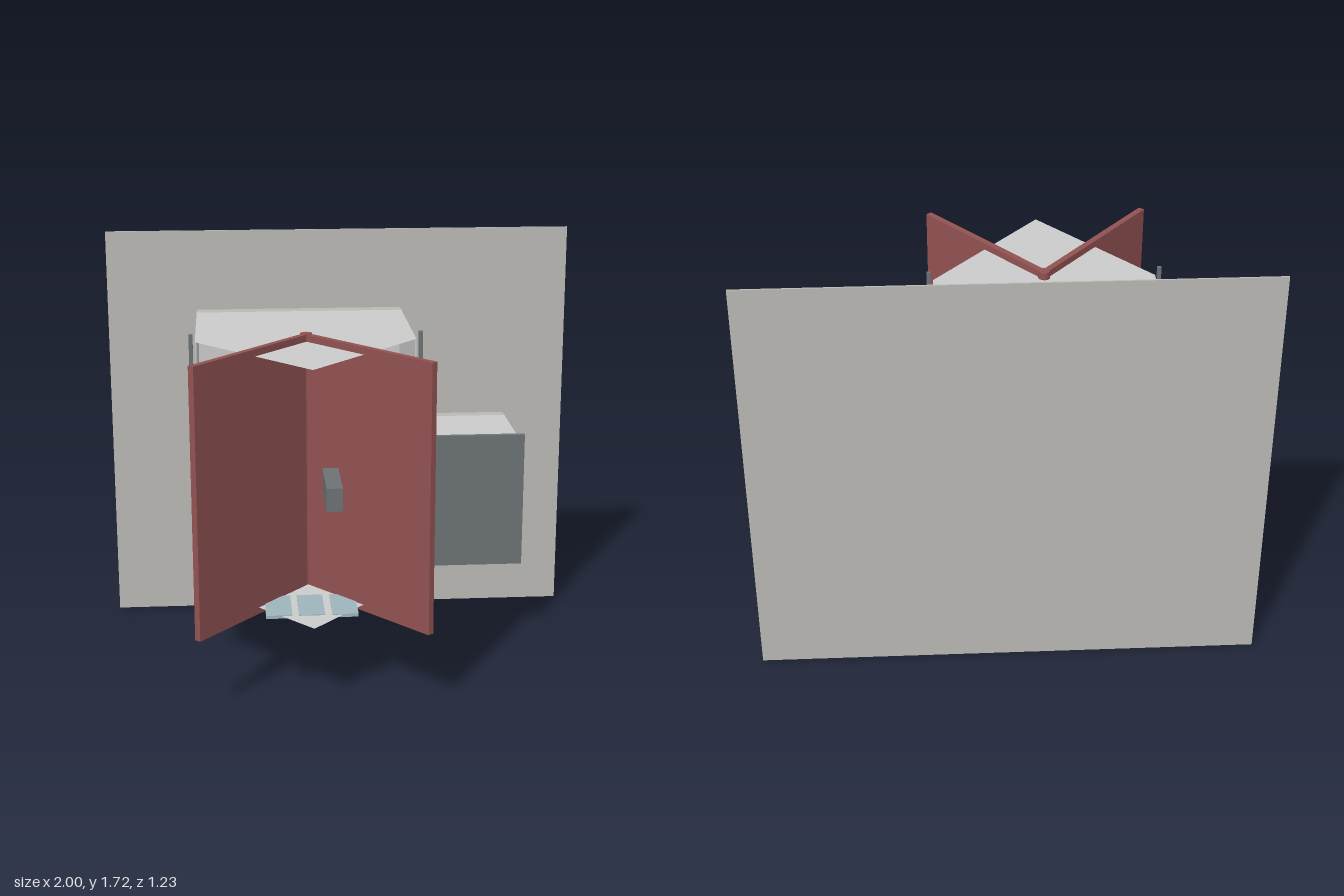
import * as THREE from 'three';

const mat = (color) => new THREE.MeshStandardMaterial({ color, side: THREE.DoubleSide, flatShading: true });

export function createModel() {
  const model = new THREE.Group();
  const grey = mat(0xcccccc), wallGrey = mat(0xbab9b5), dark = mat(0x6c7275);
  const red = mat(0x935252), blue = mat(0x9fb4bc);

  const add = (name, geometry, material) => {
    const mesh = new THREE.Mesh(geometry, material);
    mesh.name = name;
    model.add(mesh);
    return mesh;
  };
  // box given by its limits on each axis
  const box = (name, [x0, x1], [y0, y1], [z0, z1], material) => {
    const mesh = add(name, new THREE.BoxGeometry(x1 - x0, y1 - y0, z1 - z0), material);
    mesh.position.set((x0 + x1) / 2, (y0 + y1) / 2, (z0 + z1) / 2);
    return mesh;
  };

  // large wall the cabinets hang on
  box('backWall', [-1, 1], [0, 1.72], [-0.615, -0.608], wallGrey);

  // main cabinet: open front, with pointed roof and floor sheets
  const L = -0.617, R = 0.27, mid = -0.173, low = 0.345, high = 1.375;
  const plan = new THREE.Shape([[L, -0.545], [R, -0.545], [R, 0.05], [mid, 0.56], [L, 0.05]]
    .map(([x, z]) => new THREE.Vector2(x, -z)));
  for (const [name, y] of [['cabinetFloor', low], ['cabinetRoof', high]]) {
    const sheet = add(name, new THREE.ShapeGeometry(plan), grey);
    sheet.rotation.x = -Math.PI / 2;
    sheet.position.y = y;
  }
  box('cabinetSideRight', [L, L + 0.006], [low, high], [-0.545, 0.05], grey);
  box('cabinetSideLeft', [R - 0.006, R], [low, high], [-0.545, 0.05], grey);
  box('cabinetBackPanel', [L, R], [low, high], [-0.545, -0.54], grey);
  box('cabinetMount', [L, R], [low, high], [-0.61, -0.545], wallGrey);

  // small side cabinet with its door
  box('sideCabinet', [R, 0.737], [low, 0.89], [-0.555, -0.18], grey);
  box('sideCabinetMount', [R, 0.737], [low, 0.89], [-0.61, -0.555], wallGrey);
  box('sideCabinetDoor', [R, 0.76], [0.33, 0.908], [-0.18, -0.158], dark);
  box('sideCabinetVent', [0.4, 0.62], [0.334, 0.343], [-0.53, -0.21], grey);

  // two door leaves opening from a central hinge post
  const doorLow = 0.318, doorHigh = 1.403, doorH = doorHigh - doorLow;
  const length = 0.7, angle = Math.atan2(0.535, 0.452);
  const hinge = add('hingePost', new THREE.CylinderGeometry(0.024, 0.024, doorH + 0.006, 12), red);
  hinge.position.set(mid, (doorLow + doorHigh) / 2, 0.05);
  for (const side of [1, -1]) {
    const leaf = new THREE.Group();
    leaf.name = side > 0 ? 'leftDoor' : 'rightDoor';
    const panel = new THREE.Mesh(new THREE.BoxGeometry(length, doorH, 0.026), red);
    panel.name = 'doorPanel';
    panel.position.x = length / 2;
    leaf.add(panel);
    if (side > 0) {
      const plate = new THREE.Mesh(new THREE.BoxGeometry(0.13, 0.17, 0.014), dark);
      plate.name = 'doorPlate';
      plate.position.set(0.365, 0.955 - (doorLow + doorHigh) / 2, -0.02);
      leaf.add(plate);
    }
    leaf.position.set(mid, (doorLow + doorHigh) / 2, 0.05);
    leaf.rotation.y = side > 0 ? -angle : Math.PI + angle;
    model.add(leaf);
    // slim post beside the cabinet opening
    const x = mid + side * 0.46;
    box('edgePost', [x - 0.008, x + 0.008], [0.313, 1.408], [0.045, 0.063], dark);
  }

  // projecting handle block
  box('handle', [-0.127, -0.065], [0.837, 0.928], [0.34, 0.61], dark);

  // floor vents: three slats between the doors and one plate behind the left leaf
  for (const x of [-0.305, -0.175, -0.042])
    box('floorSlat', [x - 0.052, x + 0.052], [0.335, 0.348], [0.2, 0.42], blue);
  box('floorPlate', [-0.04, 0.155], [0.333, 0.344], [0.07, 0.25], grey);

  // small plate on the outer side of the main cabinet
  box('sidePlate', [-0.627, L], [0.8, 0.95], [-0.42, -0.3], blue);

  return model;
}
